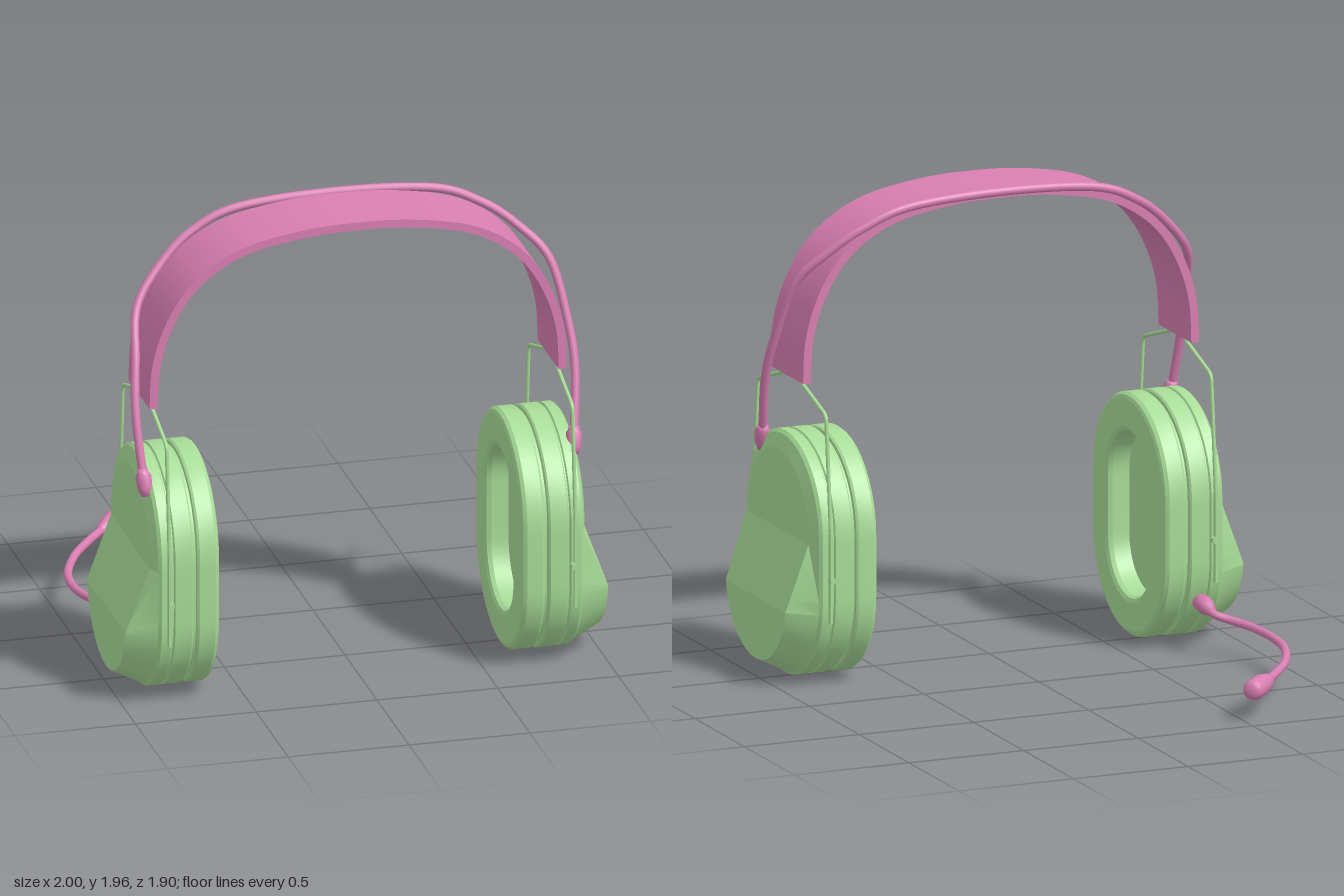
import * as THREE from 'three';
import { toCreasedNormals } from 'three/addons/utils/BufferGeometryUtils.js';

const green = new THREE.MeshStandardMaterial({ color: 0xa8dc98 });
const pink = new THREE.MeshStandardMaterial({ color: 0xd97fb2 });
const CUP_Z = 0.542;

function add(parent, name, geometry, material) {
  const mesh = new THREE.Mesh(geometry, material);
  mesh.name = name;
  parent.add(mesh);
  return mesh;
}

const vec = (p) => new THREE.Vector3(...p);

function tube(points, radius, segments, tension = 0.5) {
  const curve = new THREE.CatmullRomCurve3(points.map(vec), false, 'catmullrom', tension);
  return new THREE.TubeGeometry(curve, segments, radius, 12);
}

// Turned part whose axis runs from a to b; profile is [radius, fraction of the length]
function turned(parent, name, a, b, profile) {
  const dir = vec(b).sub(vec(a));
  const pts = profile.map(([r, t]) => new THREE.Vector2(r, t * dir.length()));
  const mesh = add(parent, name, new THREE.LatheGeometry(pts, 20), pink);
  mesh.position.copy(vec(a));
  mesh.quaternion.setFromUnitVectors(new THREE.Vector3(0, 1, 0), dir.normalize());
}

// One side of a stadium outline, top to bottom, as [z, y]
function halfStadium(r) {
  const out = [];
  for (let i = 0; i <= 10; i++) {
    const a = (i / 10) * Math.PI / 2;
    out.push([r * Math.sin(a), 0.625 + r * Math.cos(a)]);
  }
  out.push([r, 0.6]);
  for (let i = 0; i <= 10; i++) {
    const a = (i / 10) * Math.PI / 2;
    out.push([r * Math.cos(a), 0.375 - r * Math.sin(a)]);
  }
  return out;
}

// Ear cup: stadium rings from the recess floor, round the pad, to the sloped outer face
function cupGeometry() {
  const bulge = (y) => 0.9 + 0.1 * THREE.MathUtils.clamp((0.6 - y) / 0.272, 0, 1);
  const rings = [
    [0.72, 0.205], [0.65, 0.21], [0.633, 0.218], [0.625, 0.235],
    [0.625, 0.35], [0.631, 0.364], [0.645, 0.374], [0.71, 0.374], [0.719, 0.368],
    [0.722, 0.355], [0.732, 0.355], [0.735, 0.368], [0.742, 0.375],
    [0.812, 0.375], [0.817, 0.367], [0.822, 0.367], [0.827, 0.375],
    [0.868, 0.375], [0.88, 0.362], [bulge, 0.302],
  ];
  const h = halfStadium(1).length, n = 2 * (h - 1);
  const positions = [], index = [];
  for (const [x, r] of rings) {
    const half = halfStadium(r);
    for (let j = 0; j < n; j++) {
      const [z, y] = half[j < h ? j : n - j];
      positions.push(typeof x === 'function' ? x(y) : x, y, j < h ? z : -z);
    }
  }
  const quad = (a, b, c, d) => {
    if (b !== c) index.push(a, b, c);
    if (a !== d) index.push(a, c, d);
  };
  const last = rings.length - 1;
  for (let i = 0; i < last; i++) {
    for (let j = 0; j < n; j++) {
      const k = (j + 1) % n;
      quad(i * n + j, i * n + k, (i + 1) * n + k, (i + 1) * n + j);
    }
  }
  // Recess floor and outer face, in strips from side to side
  for (let k = 0; k < h - 1; k++) {
    const l0 = k, l1 = k + 1, r0 = (n - k) % n, r1 = n - k - 1;
    const o = last * n;
    quad(o + l0, o + l1, o + r1, o + r0);
    quad(r0, r1, l1, l0);
  }
  const g = new THREE.BufferGeometry();
  g.setAttribute('position', new THREE.Float32BufferAttribute(positions, 3));
  g.setIndex(index);
  return toCreasedNormals(g, 0.3);
}

// Arched strip, as an outline offset to both sides of its centre line
function headbandGeometry() {
  const side = [[0.847, 1.228], [0.837, 1.4], [0.79, 1.56], [0.705, 1.705], [0.585, 1.81], [0.43, 1.88], [0.2, 1.92]];
  const pts = [...side, [0, 1.928], ...side.map(([x, y]) => [-x, y]).reverse()];
  const curve = new THREE.SplineCurve(pts.map((p) => new THREE.Vector2(...p)));
  const outer = [], inner = [];
  for (let i = 0; i <= 64; i++) {
    const p = curve.getPoint(i / 64), t = curve.getTangent(i / 64);
    const normal = new THREE.Vector2(t.y, -t.x).multiplyScalar(0.017);
    outer.push(p.clone().add(normal));
    inner.unshift(p.clone().sub(normal));
  }
  const g = new THREE.ExtrudeGeometry(new THREE.Shape([...outer, ...inner]), { depth: 0.33, bevelEnabled: false });
  g.translate(0, 0, 0.377);
  return toCreasedNormals(g, 0.5);
}

function earpiece(name) {
  const group = new THREE.Group();
  group.name = name;
  group.position.z = CUP_Z;
  add(group, 'earCup', cupGeometry(), green);

  // Wire yoke hanging from the headband
  const half = [[0.62, 0.388], [0.68, 0.387], [1.1, 0.345], [1.13, 0.338], [1.145, 0.315], [1.215, 0.1], [1.232, 0.05]];
  const path = [...half, ...half.map(([y, z]) => [y, -z]).reverse()];
  add(group, 'wireYoke', tube(path.map(([y, z]) => [0.84, y, z]), 0.008, 160, 0.15), green);

  // Sliders and pivots on the cup edges
  for (const s of [-1, 1]) {
    const slider = add(group, 'yokeSlider', new THREE.BoxGeometry(0.012, 0.37, 0.018), green);
    slider.position.set(0.84, 0.475, s * 0.39);
    const pivot = add(group, 'yokePivot', new THREE.CylinderGeometry(0.013, 0.013, 0.045, 14), green);
    pivot.rotation.x = Math.PI / 2;
    pivot.position.set(0.834, 0.465, s * 0.382);
  }
  return group;
}

export function createModel() {
  const model = new THREE.Group();
  model.name = 'headset';

  const left = earpiece('leftEarpiece');
  const right = earpiece('rightEarpiece');
  right.scale.x = -1;
  model.add(left, right);

  add(model, 'headband', headbandGeometry(), pink);

  // Cable running over the head along the back edge of the headband
  add(model, 'cable', tube([
    [0.885, 0.93, 0.735], [0.915, 1.2, 0.64], [0.9, 1.4, 0.565], [0.85, 1.62, 0.485],
    [0.74, 1.745, 0.42], [0.6, 1.845, 0.378], [0.4, 1.92, 0.357], [0, 1.943, 0.353],
    [-0.4, 1.92, 0.357], [-0.6, 1.84, 0.368], [-0.74, 1.725, 0.405], [-0.855, 1.58, 0.475],
    [-0.89, 1.4, 0.585], [-0.91, 1.2, 0.665], [-0.897, 0.93, 0.74],
  ], 0.018, 160), pink);

  // Strain reliefs where the cable enters the cups
  const relief = [[0, 0], [0.02, 0.02], [0.031, 0.3], [0.032, 0.75], [0.024, 0.85], [0.021, 1], [0, 1]];
  turned(model, 'cableRelief', [0.878, 0.875, 0.757], [0.89, 0.985, 0.72], relief);
  turned(model, 'cableRelief', [-0.89, 0.875, 0.757], [-0.9, 0.985, 0.728], relief);

  // Microphone boom with its socket and capsule
  add(model, 'microphoneBoom', tube([
    [-0.8, 0.195, 0.17], [-0.815, 0.17, 0.11], [-0.87, 0.15, 0.06], [-0.92, 0.138, -0.03],
    [-0.944, 0.128, -0.18], [-0.925, 0.123, -0.34], [-0.85, 0.12, -0.52], [-0.755, 0.12, -0.66], [-0.65, 0.12, -0.79],
  ], 0.017, 80), pink);
  turned(model, 'boomSocket', [-0.795, 0.205, 0.21], [-0.808, 0.18, 0.125],
    [[0, 0], [0.035, 0], [0.035, 0.6], [0.028, 0.75], [0.022, 1], [0, 1]]);
  turned(model, 'microphone', [-0.68, 0.12, -0.755], [-0.52, 0.125, -0.937],
    [[0, 0], [0.02, 0], [0.03, 0.18], [0.037, 0.32], [0.042, 0.5], [0.043, 0.85], [0.036, 0.95], [0.022, 1], [0, 1]]);

  return model;
}
